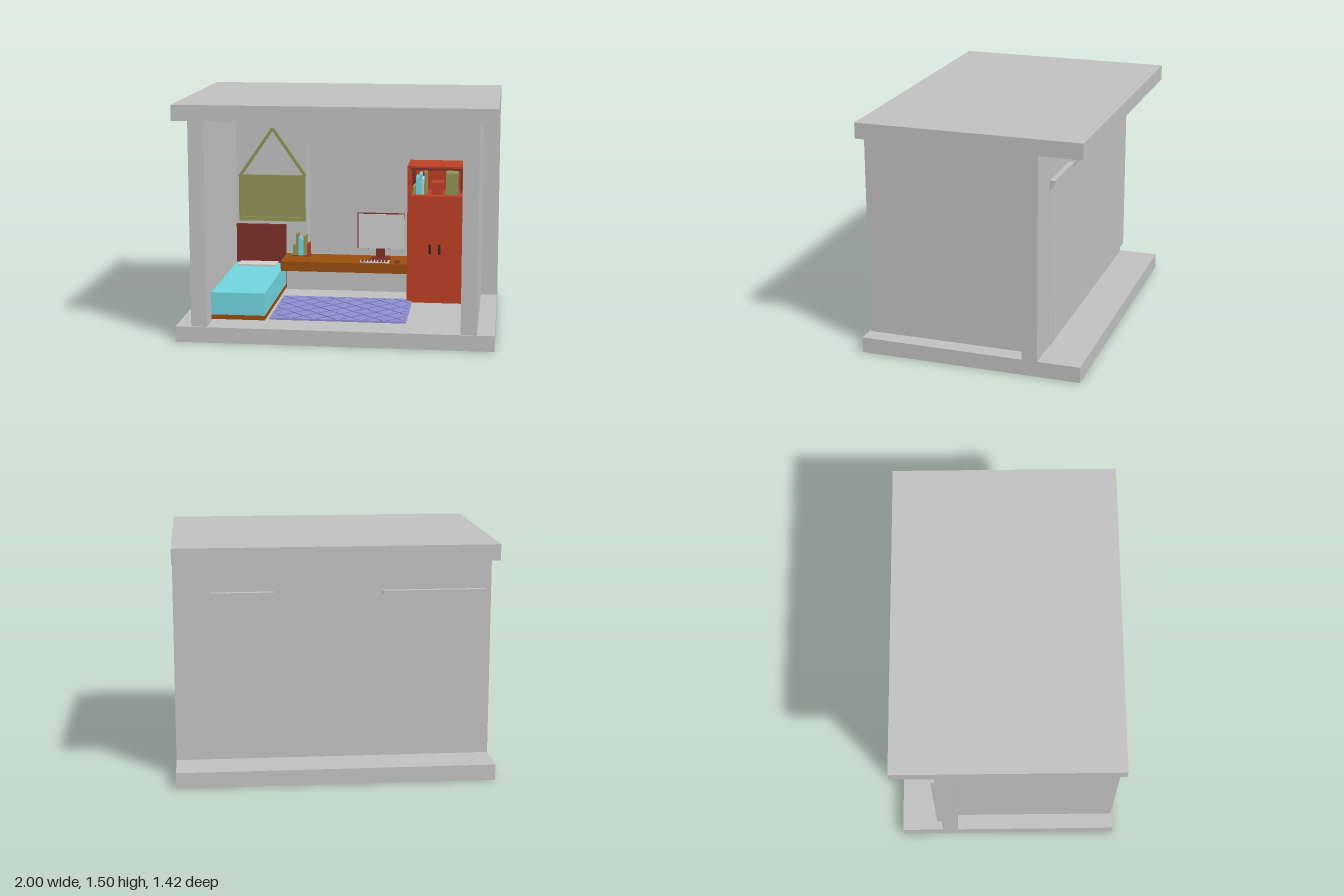
import * as THREE from 'three';

const mat = (name, color) => {
  const m = new THREE.MeshStandardMaterial({ color });
  m.name = name;
  return m;
};

export function createModel() {
  const root = new THREE.Group();
  const wall = mat('wall grey', 0xc0c0c0);
  const pale = mat('pale grey', 0xcecece);
  const red = mat('cabinet red', 0xbe3f25);
  const maroon = mat('dark red', 0x7c3029);
  const brown = mat('wood brown', 0x984e0c);
  const cyan = mat('bedding cyan', 0x70d4de);
  const olive = mat('olive', 0x919356);
  const purple = mat('rug purple', 0x8e8ed0);
  const line = mat('rug line', 0x6c6cb0);
  const dark = mat('handle dark', 0x3a2422);
  wall.side = THREE.DoubleSide;

  const add = (name, geo, m, parent = root) => {
    const mesh = new THREE.Mesh(geo, m);
    mesh.name = name;
    parent.add(mesh);
    return mesh;
  };
  // Box given by its limits on each axis
  const box = (name, m, [x0, x1], [y0, y1], [z0, z1], parent = root) => {
    const mesh = add(name, new THREE.BoxGeometry(x1 - x0, y1 - y0, z1 - z0), m, parent);
    mesh.position.set((x0 + x1) / 2, (y0 + y1) / 2, (z0 + z1) / 2);
    return mesh;
  };
  const group = (name) => {
    const g = new THREE.Group();
    g.name = name;
    root.add(g);
    return g;
  };
  const rect = (T, x0, x1, y0, y1) => {
    const s = new T();
    s.moveTo(x0, y0).lineTo(x1, y0).lineTo(x1, y1).lineTo(x0, y1).closePath();
    return s;
  };
  // Rectangular plate with a rectangular opening
  const frame = (name, m, outer, inner, z, depth, parent = root) => {
    const s = rect(THREE.Shape, ...outer);
    s.holes.push(rect(THREE.Path, ...inner));
    const mesh = add(name, new THREE.ExtrudeGeometry(s, { depth, bevelEnabled: false }), m, parent);
    mesh.position.z = z;
    return mesh;
  };
  // Row of books: [left, right, top, material]
  const books = (name, rows, base, z) => {
    const g = group(name);
    rows.forEach(([x0, x1, top, m]) => box('book', m, [x0, x1], [base, top], z, g));
  };

  // Shell of the room
  box('floor', wall, [-1, 1], [0, 0.1], [-0.71, 0.71]);
  box('roof', wall, [-1, 1], [1.4, 1.5], [-0.71, 0.71]);
  box('rightWall', wall, [-0.9, -0.8], [0.1, 1.4], [-0.34, 0.7]);
  box('leftWall', wall, [0.79, 0.89], [0.1, 1.4], [-0.34, 0.7]);
  frame('backWall', wall, [-1, 1, 0.1, 1.4], [-0.31, 0.4, 0.24, 1.13], -0.44, 0.1);

  // Window shutters and the sheet behind them
  box('shutter', wall, [0.37, 0.765], [0.173, 1.18], [-0.475, -0.44]);
  box('shutter', wall, [-0.963, -0.31], [0.173, 1.18], [-0.475, -0.44]);
  const sheet = add('windowSheet', new THREE.PlaneGeometry(1.74, 1.007), wall);
  sheet.position.set(0.016, 0.654, -0.479);
  box('ceilingLight', pale, [-0.32, 0.34], [1.385, 1.4], [0.0, 0.36]);

  // Bed
  const bed = group('bed');
  box('bedBase', brown, [-0.8, -0.455], [0.115, 0.145], [-0.34, 0.56], bed);
  box('mattress', cyan, [-0.8, -0.455], [0.145, 0.29], [-0.32, 0.56], bed);
  box('headboard', maroon, [-0.8, -0.455], [0.145, 0.56], [-0.34, -0.32], bed);
  box('pillow', pale, [-0.77, -0.51], [0.29, 0.302], [-0.315, -0.2], bed);

  // Hanging picture
  const picture = group('picture');
  frame('pictureFrame', olive, [-0.78, -0.32, 0.585, 0.905], [-0.755, -0.345, 0.61, 0.89], -0.34, 0.025, picture);
  box('picturePanel', olive, [-0.756, -0.344], [0.609, 0.891], [-0.339, -0.325], picture);
  for (const sx of [-1, 1]) {
    for (const sy of [-1, 1]) {
      const c = new THREE.Shape();
      const x = -0.55 + sx * 0.204, y = 0.75 + sy * 0.139;
      c.moveTo(x, y).lineTo(x - sx * 0.03, y).lineTo(x, y - sy * 0.03).closePath();
      add('cornerPiece', new THREE.ExtrudeGeometry(c, { depth: 0.005, bevelEnabled: false }), olive, picture).position.z = -0.325;
    }
    // Sloping hanger bar
    const dx = 0.225, dy = 0.325;
    const bar = add('hanger', new THREE.BoxGeometry(0.02, Math.hypot(dx, dy), 0.015), olive, picture);
    bar.position.set(-0.545 + sx * dx / 2, 0.905 + dy / 2 - 0.005, -0.332);
    bar.rotation.z = sx * Math.atan2(dx, dy);
  }

  // Desk with books
  box('desk', brown, [-0.455, 0.4], [0.29, 0.355], [-0.34, -0.08]);
  books('deskBooks', [
    [-0.397, -0.38, 0.43, olive], [-0.377, -0.36, 0.51, olive], [-0.36, -0.345, 0.48, cyan],
    [-0.343, -0.327, 0.47, cyan], [-0.325, -0.306, 0.495, olive], [-0.302, -0.285, 0.44, red],
  ], 0.355, [-0.335, -0.26]);
  box('bookStand', maroon, [-0.4, -0.28], [0.355, 0.36], [-0.335, -0.255]);

  // Computer
  const computer = group('computer');
  box('monitorBack', maroon, [0.05, 0.37], [0.43, 0.672], [-0.245, -0.22], computer);
  box('screen', pale, [0.06, 0.37], [0.432, 0.668], [-0.22, -0.212], computer);
  box('monitorStand', maroon, [0.175, 0.235], [0.355, 0.45], [-0.27, -0.235], computer);
  box('monitorFoot', maroon, [0.14, 0.27], [0.355, 0.361], [-0.29, -0.21], computer);
  box('keyboard', pale, [0.08, 0.275], [0.355, 0.362], [-0.175, -0.105], computer);
  for (let r = 0; r < 3; r++) {
    for (let k = 0; k < 8; k++) {
      const x = 0.088 + k * 0.023, z = -0.17 + r * 0.021;
      box('key', maroon, [x, x + 0.015], [0.362, 0.366], [z, z + 0.014], computer);
    }
  }
  const mouse = add('mouse', new THREE.SphereGeometry(1, 16, 8, 0, Math.PI * 2, 0, Math.PI / 2), maroon, computer);
  mouse.scale.set(0.02, 0.015, 0.03);
  mouse.position.set(0.33, 0.355, -0.14);

  // Wardrobe with an open top shelf
  const wardrobe = group('wardrobe');
  const zBack = -0.34, zFront = -0.06;
  box('cupboard', red, [0.4, 0.785], [0.1, 0.825], [zBack, zFront - 0.005], wardrobe);
  box('door', red, [0.4, 0.583], [0.105, 0.825], [zFront - 0.005, zFront], wardrobe);
  box('door', red, [0.587, 0.785], [0.105, 0.825], [zFront - 0.005, zFront], wardrobe);
  frame('shelfCase', red, [0.4, 0.785, 0.825, 1.025], [0.42, 0.76, 0.826, 1.013], zBack, zFront - zBack, wardrobe);
  box('shelfBack', red, [0.42, 0.76], [0.825, 1.013], [zBack, zBack + 0.02], wardrobe);
  box('shelfTrim', maroon, [0.42, 0.76], [0.998, 1.013], [zBack + 0.02, zFront - 0.01], wardrobe);
  box('shelfTrim', maroon, [0.42, 0.438], [0.826, 0.998], [zBack + 0.02, zFront - 0.15], wardrobe);
  box('shelfTrim', maroon, [0.745, 0.76], [0.826, 0.998], [zBack + 0.02, zFront - 0.15], wardrobe);
  for (const x of [0.552, 0.615]) {
    const h = add('handle', new THREE.CapsuleGeometry(0.008, 0.055, 4, 10), dark, wardrobe);
    h.position.set(x, 0.47, zFront + 0.012);
  }
  books('shelfBooks', [
    [0.43, 0.45, 0.88, olive], [0.452, 0.47, 0.94, cyan], [0.472, 0.49, 0.96, cyan],
    [0.491, 0.505, 0.93, pale], [0.507, 0.525, 0.975, olive],
    [0.555, 0.63, 0.905, red], [0.65, 0.73, 0.97, olive],
  ], 0.825, [-0.25, -0.12]);

  // Rug with a diamond lattice, each line clipped to the rug's edges
  const X0 = -0.44, X1 = 0.435, Z0 = -0.11, Z1 = 0.48;
  box('rug', purple, [X0, X1], [0.1, 0.112], [Z0, Z1]);
  const lattice = group('rugLattice');
  const slope = 1.0, step = 0.15;
  for (const s of [-1, 1]) {
    for (let i = -8; i <= 8; i++) {
      const cx = i * step, cz = (Z0 + Z1) / 2;
      const half = (Z1 - Z0) / 2 - 0.01;
      let t0 = -half, t1 = half;
      const a = (X0 + 0.01 - cx) / (s * slope), b = (X1 - 0.01 - cx) / (s * slope);
      t0 = Math.max(t0, Math.min(a, b));
      t1 = Math.min(t1, Math.max(a, b));
      if (t1 - t0 < 0.03) continue;
      const t = (t0 + t1) / 2;
      const strip = add('rugLine', new THREE.BoxGeometry(0.006, 0.002, (t1 - t0) * Math.hypot(1, slope)), line, lattice);
      strip.position.set(cx + s * slope * t, 0.1125, cz + t);
      strip.rotation.y = Math.atan(s * slope);
    }
  }
  return root;
}
